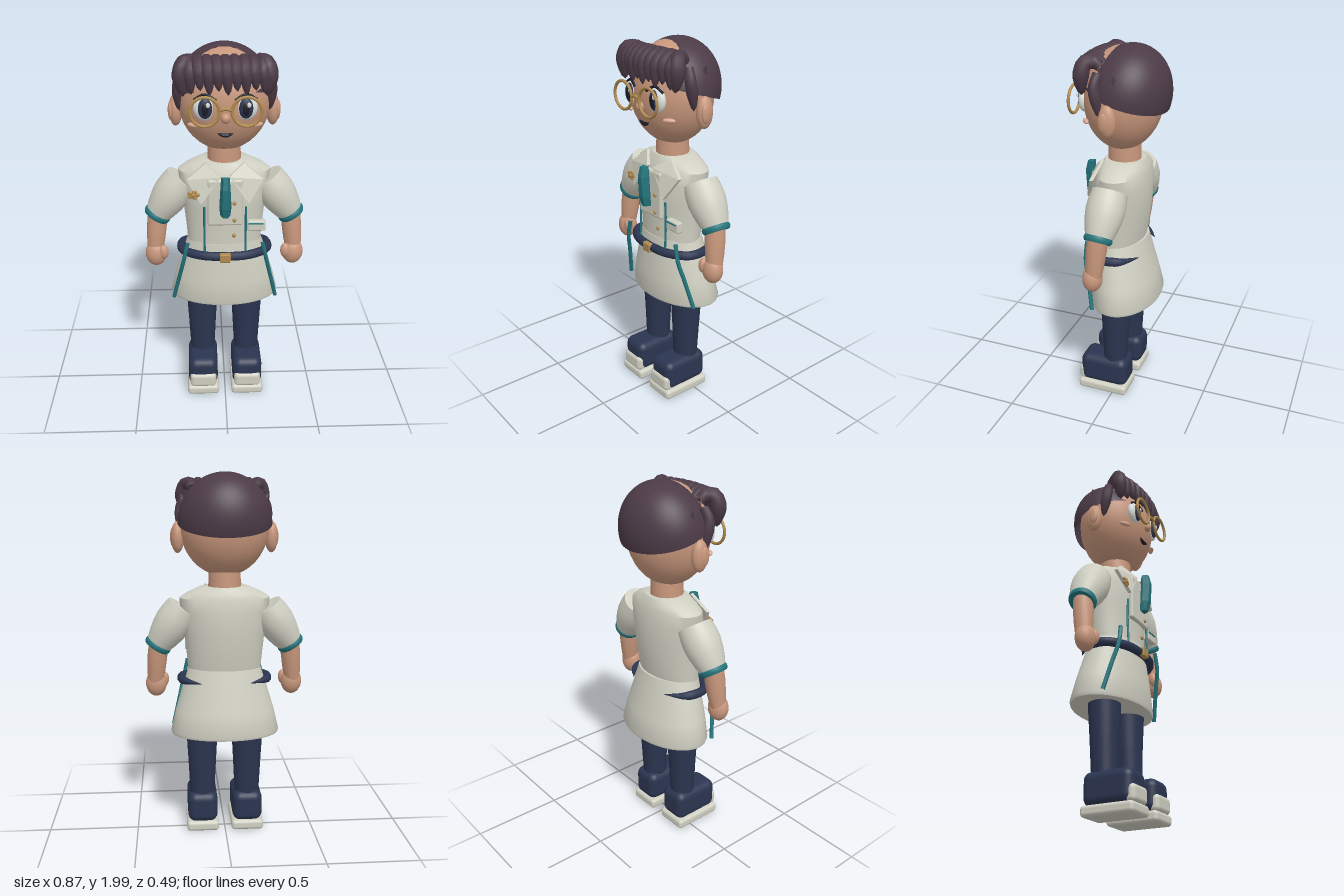
import * as THREE from 'three';
import { toCreasedNormals } from 'three/addons/utils/BufferGeometryUtils.js';
import { RoundedBoxGeometry } from 'three/addons/geometries/RoundedBoxGeometry.js';
import { ConvexGeometry } from 'three/addons/geometries/ConvexGeometry.js';

const paint = (name, color) => {
  const m = new THREE.MeshStandardMaterial({ color });
  m.name = name;
  return m;
};
const V = (x, y, z) => new THREE.Vector3(x, y, z);

export function createModel() {
  const model = new THREE.Group();
  model.name = 'uniformedFigure';
  const skin = paint('skin', 0xc8977c), hair = paint('plumHair', 0x4c3b47);
  const cloth = paint('offWhiteCloth', 0xcfcfc2), navy = paint('navy', 0x2b3550);
  const teal = paint('teal', 0x24757c), gold = paint('gold', 0xb08a4e);
  const eyeWhite = paint('eyeWhite', 0xdde2de), dark = paint('darkInk', 0x1c1c28);
  const blush = paint('blush', 0xdcaa92);

  const add = (name, geo, mat, x = 0, y = 0, z = 0) => {
    const mesh = new THREE.Mesh(geo, mat);
    mesh.name = name;
    mesh.position.set(x, y, z);
    model.add(mesh);
    return mesh;
  };
  const ball = (name, mat, x, y, z, rx, ry, rz) => {
    const m = add(name, new THREE.SphereGeometry(1, 28, 20), mat, x, y, z);
    m.scale.set(rx, ry, rz);
    return m;
  };
  const box = (name, mat, x, y, z, w, h, d, r = 0.01) =>
    add(name, new RoundedBoxGeometry(w, h, d, 4, r), mat, x, y, z);

  // Stack of elliptical rings: [y, rx, rz, centre z], closed at both ends
  const loft = (name, mat, rings, x = 0) => {
    const rows = [[rings[0][0], 0, 0, rings[0][3]], ...rings, [rings.at(-1)[0], 0, 0, rings.at(-1)[3]]];
    const geo = new THREE.LatheGeometry(rows.map(r => new THREE.Vector2(r[1], r[0])), 40);
    const p = geo.attributes.position;
    for (let i = 0; i < p.count; i++) {
      const [, rx, rz, cz] = rows[i % rows.length];
      p.setZ(i, (rx ? p.getZ(i) * rz / rx : 0) + cz);
    }
    return add(name, toCreasedNormals(geo, 0.7), mat, x);
  };

  // Round limb from a to b with radii spread evenly along it
  const limb = (name, mat, a, b, radii) => {
    const len = a.distanceTo(b), n = radii.length - 1;
    const pts = radii.map((r, i) => new THREE.Vector2(r, len * i / n));
    const geo = new THREE.LatheGeometry([new THREE.Vector2(0, 0), ...pts, new THREE.Vector2(0, len)], 28);
    const m = add(name, toCreasedNormals(geo, 0.7), mat, a.x, a.y, a.z);
    m.quaternion.setFromUnitVectors(V(0, 1, 0), b.clone().sub(a).normalize());
    return m;
  };

  // Tube along points whose radius follows taper(t); flat scales its height
  const strand = (name, mat, pts, radius, taper = () => 1, segs = 12, flat = 1) => {
    const curve = new THREE.CatmullRomCurve3(pts);
    const geo = new THREE.TubeGeometry(curve, segs, radius, 10);
    const p = geo.attributes.position, v = V(0, 0, 0);
    for (let i = 0; i < p.count; i++) {
      const t = Math.floor(i / 11) / segs, c = curve.getPointAt(t);
      v.fromBufferAttribute(p, i).sub(c).multiplyScalar(Math.max(0.01, taper(t)));
      v.y *= flat;
      v.add(c);
      p.setXYZ(i, v.x, v.y, v.z);
    }
    return add(name, toCreasedNormals(geo, 0.9), mat);
  };

  // Head, neck and face
  ball('head', skin, 0, 1.72, 0, 0.238, 0.267, 0.203);
  limb('neck', skin, V(0, 1.36, -0.005), V(0, 1.5, -0.005), [0.09, 0.085]);
  ball('nose', skin, 0, 1.675, 0.2, 0.024, 0.026, 0.026);
  strand('mouth', dark, [V(-0.04, 1.592, 0.179), V(0, 1.58, 0.178), V(0.04, 1.592, 0.179)], 0.008,
    t => 0.3 + Math.sin(Math.PI * t));
  for (const s of [-1, 1]) {
    ball('ear', skin, 0.25 * s, 1.66, -0.005, 0.035, 0.083, 0.046);
    ball('innerEar', skin, 0.275 * s, 1.66, 0.005, 0.014, 0.05, 0.028);
    const cheek = ball('cheek', blush, 0.16 * s, 1.625, 0.146, 0.034, 0.012, 0.014);
    cheek.rotation.y = 0.6 * s;
    ball('eyeball', eyeWhite, 0.1 * s, 1.722, 0.172, 0.058, 0.066, 0.03);
    ball('iris', navy, 0.1 * s, 1.722, 0.188, 0.038, 0.052, 0.019);
    ball('pupil', dark, 0.1 * s, 1.72, 0.199, 0.02, 0.034, 0.011);
    ball('eyeGlint', eyeWhite, 0.1 * s + 0.014, 1.742, 0.207, 0.01, 0.013, 0.004);
    strand('upperLid', dark, [V(0.045 * s, 1.762, 0.198), V(0.1 * s, 1.79, 0.185), V(0.155 * s, 1.762, 0.175)], 0.007);
    // Glasses
    add('glassesRim', new THREE.TorusGeometry(0.072, 0.008, 10, 40), gold, 0.103 * s, 1.717, 0.232);
  }
  strand('glassesBridge', gold, [V(-0.033, 1.722, 0.232), V(0, 1.732, 0.234), V(0.033, 1.722, 0.232)], 0.008);

  // Hair cap, tipped back
  const cap = add('hairCap', new THREE.SphereGeometry(1, 40, 24, 0, Math.PI * 2, 0, 1.57), hair, 0, 1.735, -0.022);
  cap.scale.set(0.25, 0.265, 0.222);
  cap.rotation.x = -0.3;
  hair.side = THREE.DoubleSide;

  // Fringe of overlapping locks
  const lockTaper = t => (t < 0.55 ? 0.85 + 0.3 * t : 1.02 * Math.sqrt(Math.max(0, (1 - t) / 0.45)));
  for (let i = 0; i < 9; i++) {
    const x = -0.18 + i * 0.045, drop = (i % 2) * 0.02, back = x * x * 0.9;
    strand('fringeLock', hair, [V(x * 0.95, 1.91, 0.06), V(x, 1.94, 0.125 - back), V(x + 0.006, 1.9, 0.18 - back),
      V(x + 0.014, 1.785 + drop, 0.195 - back)], 0.034, lockTaper);
  }
  for (const s of [-1, 1]) {
    strand('sideCurl', hair, [V(0.165 * s, 1.93, 0.08), V(0.2 * s, 1.93, 0.125), V(0.217 * s, 1.88, 0.14),
      V(0.205 * s, 1.77, 0.145)], 0.042, lockTaper);
    strand('templeLock', hair, [V(0.2 * s, 1.88, 0.06), V(0.23 * s, 1.82, 0.07), V(0.233 * s, 1.76, 0.06),
      V(0.228 * s, 1.67, 0.045)], 0.03, lockTaper);
    const tuft = add('sideTuft', new THREE.ConeGeometry(0.035, 0.08, 4), hair, 0.215 * s, 1.85, -0.03);
    tuft.rotation.z = -0.4 * s;
  }

  // Jacket and flared skirt
  loft('jacket', cloth, [[0.92, 0.2, 0.122, 0.01], [1.0, 0.205, 0.13, 0.003], [1.15, 0.22, 0.142, -0.003],
    [1.27, 0.24, 0.145, -0.002], [1.34, 0.245, 0.13, -0.008], [1.37, 0.2, 0.12, -0.01], [1.4, 0.13, 0.105, -0.01]]);
  loft('skirt', cloth, [[0.585, 0.295, 0.185, -0.025], [0.6, 0.3, 0.19, -0.025], [0.72, 0.272, 0.172, -0.015],
    [0.85, 0.232, 0.15, -0.004], [0.95, 0.2, 0.133, 0.003]]);
  box('bib', cloth, 0, 1.2, 0.137, 0.185, 0.26, 0.03, 0.013);
  for (const y of [1.2, 1.103, 1.005]) ball('button', gold, 0.048, y, y > 1.05 ? 0.153 : 0.135, 0.011, 0.011, 0.008);
  box('chestPocket', cloth, 0.168, 1.058, 0.118, 0.095, 0.058, 0.04, 0.008);
  box('pocketTrim', teal, 0.165, 1.074, 0.138, 0.08, 0.009, 0.008, 0.003);

  // Badge: a small cluster of petals
  for (let i = 0; i < 5; i++) {
    const a = i * Math.PI * 0.4;
    ball('badgePetal', gold, -0.165 + 0.02 * Math.cos(a), 1.25 + 0.016 * Math.sin(a), 0.15, 0.014, 0.011, 0.007);
  }
  ball('badgeCentre', gold, -0.165, 1.25, 0.154, 0.012, 0.012, 0.009);

  // Faceted tie
  const tie = [];
  for (const [y, w, z] of [[1.355, 0.022, 0.19], [1.3, 0.026, 0.203], [1.19, 0.032, 0.195], [1.135, 0.026, 0.18]])
    tie.push(V(-w, y, z - 0.018), V(w, y, z - 0.018), V(-w * 0.5, y, z + 0.014), V(w * 0.5, y, z + 0.014));
  add('tie', new ConvexGeometry(tie), teal);

  for (const s of [-1, 1]) {
    // Collar flap
    const flap = [V(0.022 * s, 1.345, 0.15), V(0.1 * s, 1.402, 0.09), V(0.2 * s, 1.32, 0.118), V(0.125 * s, 1.2, 0.163)];
    add('collarFlap', new ConvexGeometry([...flap, ...flap.map(p => p.clone().add(V(0, 0, -0.02)))]), cloth);

    // Teal piping on chest and skirt
    strand('chestPiping', teal, [V(0.11 * s, 1.175, 0.133), V(0.11 * s, 1.05, 0.13), V(0.11 * s, 0.91, 0.135)], 0.006);
    strand('skirtPiping', teal, [V(0.2 * s, 0.97, 0.137), V(0.222 * s, 0.87, 0.138), V(0.245 * s, 0.77, 0.115),
      V(0.285 * s, 0.6, 0.08)], 0.011);

    // Arm
    limb('sleeve', cloth, V(0.225 * s, 1.285, -0.008), V(0.367 * s, 1.075, 0.002), [0.092, 0.1, 0.102, 0.095, 0.083, 0.066]);
    limb('cuff', teal, V(0.354 * s, 1.095, 0.002), V(0.374 * s, 1.063, 0.004), [0.068, 0.075, 0.075, 0.068]);
    limb('forearm', skin, V(0.362 * s, 1.09, 0.005), V(0.382 * s, 0.87, 0.025), [0.052, 0.054, 0.05, 0.043]);
    ball('hand', skin, 0.378 * s, 0.855, 0.032, 0.058, 0.073, 0.052);
    ball('thumb', skin, 0.334 * s, 0.872, 0.058, 0.026, 0.042, 0.026);

    // Leg and shoe
    const x = 0.127 * s;
    loft('trouserLeg', navy, [[0.17, 0.067, 0.066, 0.005], [0.4, 0.078, 0.075, 0.002], [0.66, 0.092, 0.09, 0]], x);
    const shoe = box('shoe', navy, x, 0.14, 0.056, 0.168, 0.175, 0.28, 0.045);
    shoe.geometry.computeBoundingBox();
    box('toeCap', cloth, x, 0.1, 0.178, 0.15, 0.09, 0.06, 0.025);
    box('sole', cloth, x, 0.031, 0.06, 0.182, 0.058, 0.292, 0.02);
  }

  // Belt, pointed at both open ends, and its buckle
  strand('belt', navy, [V(-0.13, 0.888, -0.14), V(-0.225, 0.888, -0.05), V(-0.23, 0.888, 0.06), V(-0.13, 0.888, 0.135),
    V(0, 0.888, 0.152), V(0.13, 0.888, 0.135), V(0.23, 0.888, 0.06), V(0.225, 0.888, -0.05), V(0.13, 0.888, -0.14)],
  0.024, t => Math.min(1, 7 * t, 7 * (1 - t)), 48);
  box('buckle', gold, 0, 0.888, 0.168, 0.058, 0.05, 0.03, 0.006);

  return model;
}
